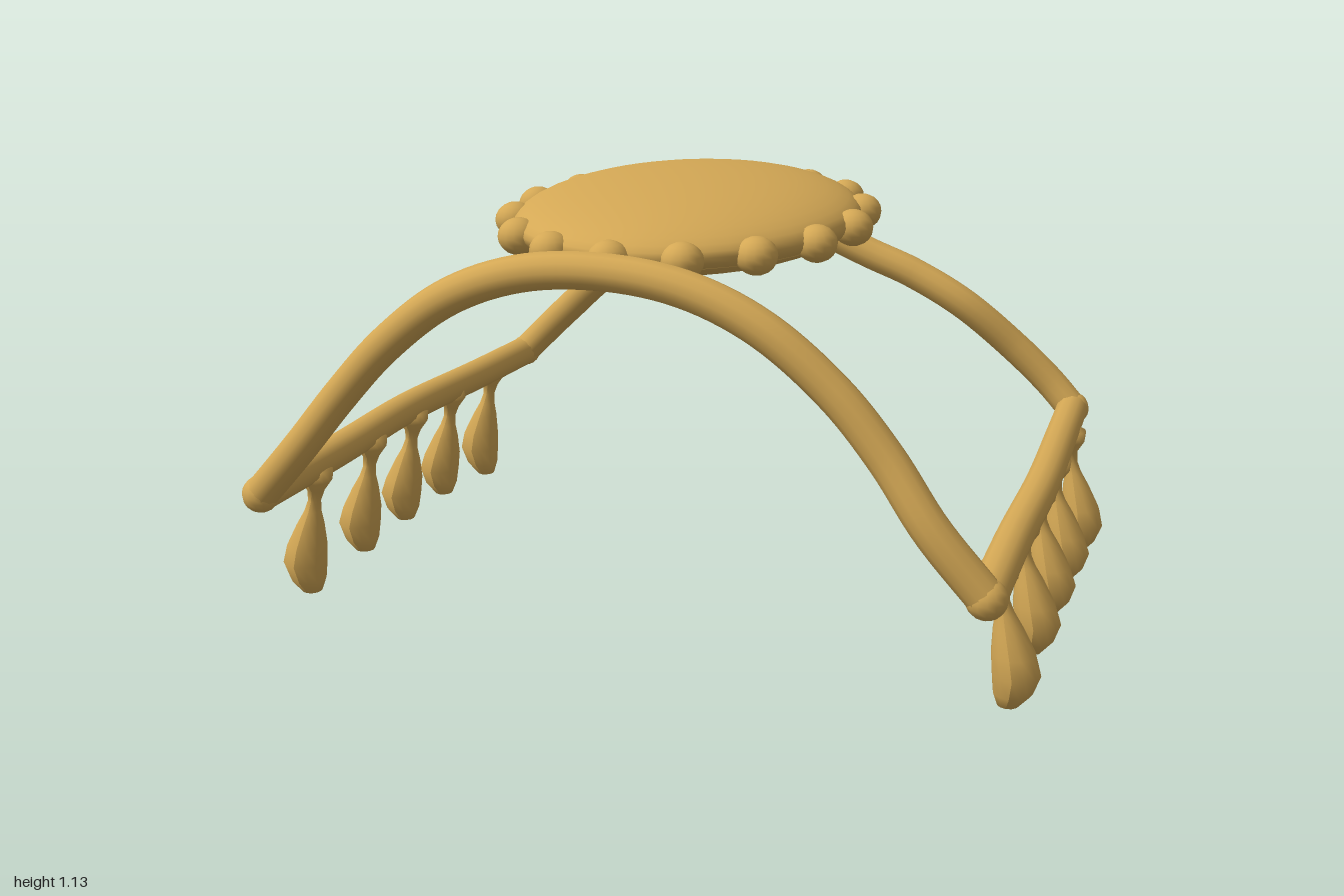
import * as THREE from 'three';

const gold = new THREE.MeshStandardMaterial({ color: 0xd4a855 });
gold.name = 'gold';

const RADIUS = 0.044;

function add(parent, name, geometry, x = 0, y = 0, z = 0) {
  const mesh = new THREE.Mesh(geometry, gold);
  mesh.name = name;
  mesh.position.set(x, y, z);
  parent.add(mesh);
  return mesh;
}

function rod(parent, name, points, segments) {
  const curve = new THREE.CatmullRomCurve3(points.map((p) => new THREE.Vector3(...p)));
  return add(parent, name, new THREE.TubeGeometry(curve, segments, RADIUS, 12, false));
}

// Mirrors half of an arch, listed from its crown down to its foot
function arch(parent, name, half) {
  const left = half.slice(1).reverse().map(([x, y, z]) => [-x, y, z]);
  return rod(parent, name, [...left, ...half], 80);
}

// Teardrop with a thin neck and a flared top, bowed outward
function dropGeometry(side, bottom) {
  const profile = [
    [0, 0], [0.026, 0.006], [0.046, 0.04], [0.057, 0.09], [0.052, 0.14], [0.036, 0.2],
    [0.022, 0.24], [0.017, 0.27], [0.022, 0.3], [0.042, 0.33], [0.045, 0.36], [0, 0.38],
  ].map(([r, y]) => new THREE.Vector2(r, bottom + y * (0.38 - bottom) / 0.38));
  const geometry = new THREE.LatheGeometry(profile, 12);
  const pos = geometry.attributes.position;
  for (let i = 0; i < pos.count; i++) {
    const t = (pos.getY(i) - 0.11) / 0.2;
    const bow = t < 0 ? 0.05 - 0.07 * t * t : 0.05 * (1 - Math.min(t, 1));
    pos.setX(i, pos.getX(i) + side * bow);
  }
  geometry.computeVertexNormals();
  return geometry;
}

export function createModel() {
  const model = new THREE.Group();
  model.name = 'ornamentalCanopy';

  // Frame: two arches joined by side rails
  const frame = new THREE.Group();
  frame.name = 'frame';
  model.add(frame);
  arch(frame, 'frontArch', [
    [0, 1.0, 0.665], [0.2, 0.98, 0.67], [0.38, 0.91, 0.675], [0.55, 0.78, 0.675],
    [0.67, 0.65, 0.685], [0.78, 0.51, 0.71], [0.905, 0.37, 0.708],
  ]);
  arch(frame, 'backArch', [
    [0, 0.93, -0.63], [0.08, 0.905, -0.632], [0.16, 0.835, -0.638], [0.27, 0.785, -0.643],
    [0.4, 0.735, -0.648], [0.55, 0.655, -0.655], [0.7, 0.525, -0.7], [0.8, 0.43, -0.715],
    [0.868, 0.36, -0.708],
  ]);

  for (const side of [1, -1]) {
    const label = side > 0 ? 'left' : 'right';
    rod(frame, label + 'Rail', [
      [side * 0.905, 0.37, 0.708], [side * 0.898, 0.372, 0.35], [side * 0.9, 0.376, 0],
      [side * 0.882, 0.365, -0.4], [side * 0.868, 0.36, -0.708],
    ], 30);
    const joint = new THREE.SphereGeometry(0.047, 14, 10);
    add(frame, label + 'FrontJoint', joint, side * 0.905, 0.37, 0.708);
    add(frame, label + 'BackJoint', joint, side * 0.868, 0.36, -0.708);

    // Hanging drops along the rail
    [[0.485, 0.01], [0.21, 0.02], [-0.02, 0.028], [-0.25, 0.025], [-0.51, 0]].forEach(([z, bottom], i) => {
      add(model, label + 'Drop' + (i + 1), dropGeometry(side, bottom), side * 0.892, 0, z);
    });
  }

  // Oval lens-shaped medallion with a beaded rim
  const medallion = new THREE.Group();
  medallion.name = 'medallion';
  medallion.position.set(0, 1.022, 0.09);
  model.add(medallion);
  add(medallion, 'medallionDisc', new THREE.SphereGeometry(1, 48, 24)).scale.set(0.42, 0.104, 0.53);
  add(medallion, 'medallionRim', new THREE.CylinderGeometry(1, 1, 0.05, 48), 0, -0.004, 0).scale.set(0.405, 1, 0.51);
  const bead = new THREE.SphereGeometry(0.05, 14, 10);
  for (let i = 0; i < 16; i++) {
    const a = (i / 16) * Math.PI * 2;
    add(medallion, 'rimBead' + (i + 1), bead, 0.422 * Math.sin(a), -0.006, 0.522 * Math.cos(a)).scale.y = 0.9;
  }
  return model;
}
